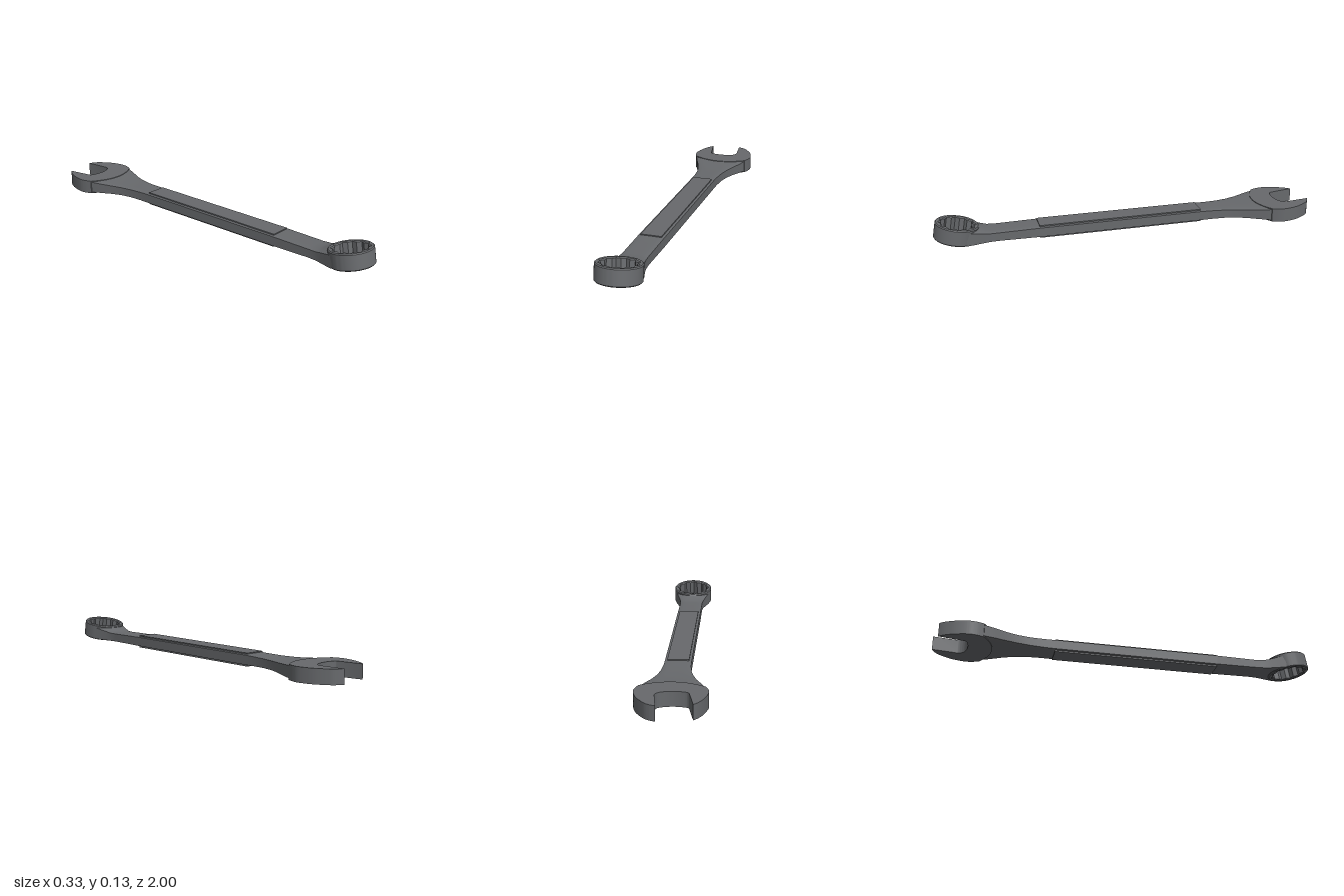
import * as THREE from 'three';
import { toCreasedNormals } from 'three/addons/utils/BufferGeometryUtils.js';

export function createModel() {
  const group = new THREE.Group();
  const steel = new THREE.MeshStandardMaterial({ color: 0x67696c });
  steel.name = 'dark steel';

  const add = (name, geometry, crease = 0.5) => {
    const mesh = new THREE.Mesh(toCreasedNormals(geometry, crease), steel);
    mesh.name = name;
    group.add(mesh);
    return mesh;
  };
  const points = (list) => list.map(([x, y]) => new THREE.Vector2(x, y));

  // Shank: cross-sections [z, half width, bottom, top, bow of the section at its edges]
  const sections = [
    [-0.72, 0.149, 0.003, 0.07, -0.04],
    [-0.67, 0.128, 0.006, 0.067, -0.03],
    [-0.62, 0.103, 0.009, 0.064, -0.02],
    [-0.57, 0.084, 0.011, 0.063, -0.01],
    [-0.52, 0.072, 0.011, 0.063, 0],
    [-0.45, 0.066, 0.01, 0.064, 0],
    [-0.39, 0.065, 0.009, 0.065, 0],
    [0.47, 0.065, 0.009, 0.065, 0],
    [0.68, 0.064, 0.011, 0.062, 0],
    [0.72, 0.067, 0.011, 0.063, 0.005],
    [0.742, 0.075, 0.011, 0.07, 0.018],
    [0.765, 0.088, 0.012, 0.08, 0.038],
    [0.785, 0.1, 0.014, 0.088, 0.056],
  ];
  const across = 12;
  const positions = [];
  const index = [];
  const ringSize = 2 * (across + 1);
  sections.forEach(([z, w, bottom, top, bow], i) => {
    for (let j = 0; j < ringSize; j++) {
      const onTop = j > across;
      const u = -1 + (2 * (onTop ? ringSize - 1 - j : j)) / across;
      const drop = 0.004 * u ** 6;
      positions.push(w * u, onTop ? top - drop : bottom + drop, z + bow * u * u);
      if (i < sections.length - 1) {
        const a = i * ringSize + j;
        const b = i * ringSize + ((j + 1) % ringSize);
        index.push(a, b, b + ringSize, a, b + ringSize, a + ringSize);
      }
    }
  });
  const shank = new THREE.BufferGeometry();
  shank.setAttribute('position', new THREE.Float32BufferAttribute(positions, 3));
  shank.setIndex(index);
  add('shank', shank, 0.6);

  // Raised grip panels on the upper and lower faces
  for (const [name, y] of [['upperPanel', 0.066], ['lowerPanel', 0.007]]) {
    add(name, new THREE.BoxGeometry(0.106, 0.008, 0.86)).position.set(0, y, 0.04);
  }

  // Open jaw: drawn in plan with its mouth turned slightly to one side
  const jaw = new THREE.Shape();
  jaw.moveTo(0.15, 0.757);
  jaw.splineThru(points([[0.163, 0.795], [0.166, 0.835], [0.148, 0.902], [0.11, 0.963], [0.084, 0.986], [0.053, 1.0]]));
  jaw.lineTo(0.069, 0.873);
  jaw.quadraticCurveTo(0.066, 0.848, 0.045, 0.838);
  jaw.quadraticCurveTo(-0.005, 0.817, -0.06, 0.831);
  jaw.quadraticCurveTo(-0.077, 0.834, -0.081, 0.845);
  jaw.lineTo(-0.106, 0.975);
  jaw.splineThru(points([[-0.128, 0.947], [-0.15, 0.9], [-0.166, 0.835], [-0.163, 0.795], [-0.15, 0.757]]));
  jaw.quadraticCurveTo(0, 0.65, 0.15, 0.757);
  const jawGeometry = new THREE.ExtrudeGeometry(jaw, { depth: 0.072, bevelEnabled: false, curveSegments: 10 });
  jawGeometry.rotateX(-Math.PI / 2);
  add('openJaw', jawGeometry);

  // Ring end: twelve-point socket, chamfered and tilted upward
  const ring = new THREE.Shape();
  ring.absarc(0, 0, 0.11, 0, Math.PI * 2);
  const socket = [];
  for (let i = 0; i < 24; i++) {
    const angle = (i * Math.PI) / 12;
    const r = i % 2 ? 0.079 : 0.091;
    socket.push([r * Math.cos(angle), r * Math.sin(angle)]);
  }
  ring.holes.push(new THREE.Path(points(socket)));
  const bevel = 0.005;
  const ringGeometry = new THREE.ExtrudeGeometry(ring, {
    depth: 0.085 - 2 * bevel, curveSegments: 48,
    bevelSize: bevel, bevelThickness: bevel, bevelOffset: -bevel, bevelSegments: 1,
  });
  ringGeometry.translate(0, 0, -0.0425 + bevel);
  ringGeometry.rotateX(-Math.PI / 2);
  const ringEnd = add('ringEnd', ringGeometry);
  ringEnd.position.set(0, 0.066, 0.884);
  ringEnd.rotation.x = -0.175;

  return group;
}
